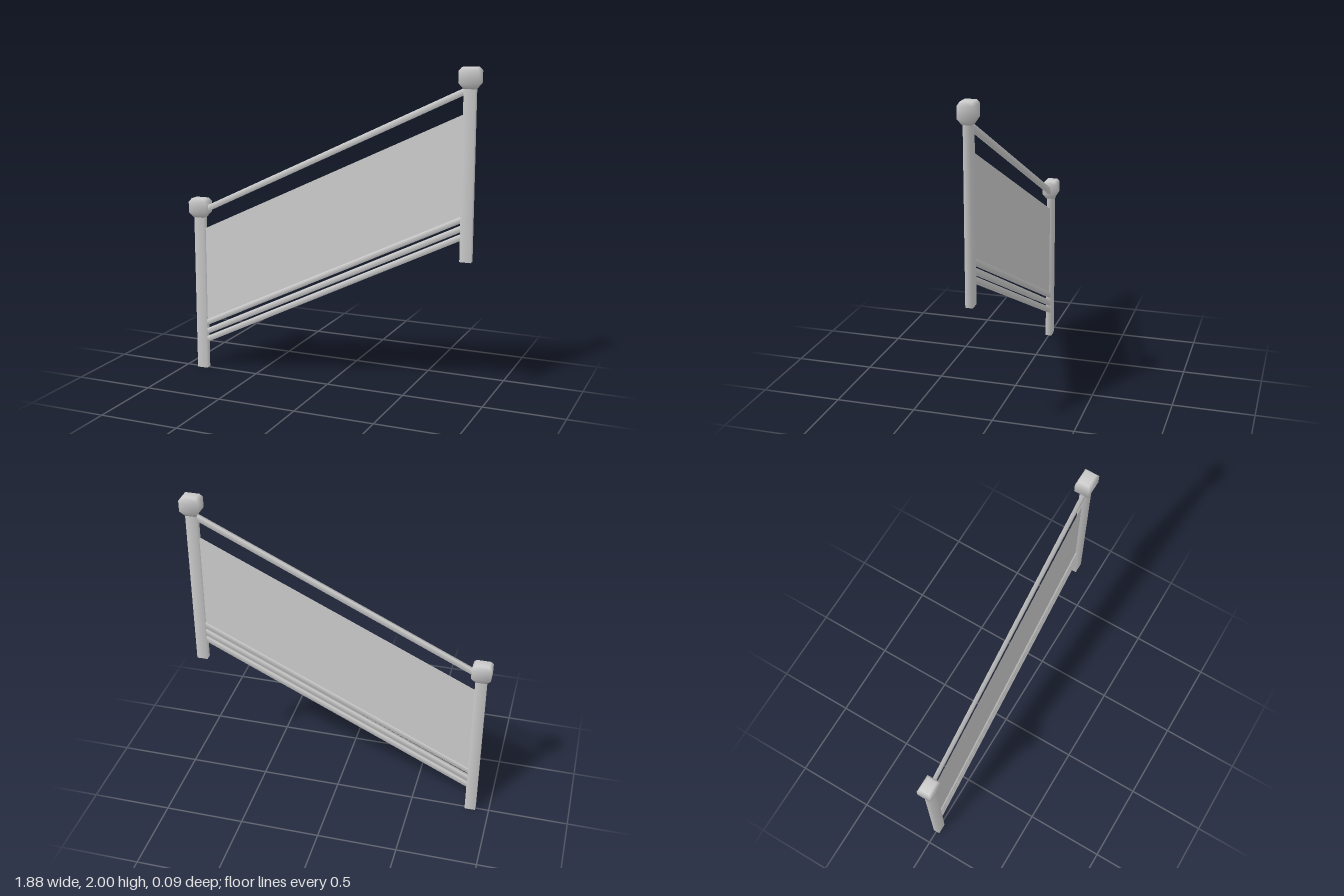
import * as THREE from 'three';

const material = new THREE.MeshStandardMaterial({ color: 0xcccccc, side: THREE.DoubleSide });

// Four-sided turned shape from [half width, y] pairs, with a square plan of half width w
function squareLathe(profile) {
  const points = profile.map(([w, y]) => new THREE.Vector2(w * Math.SQRT2, y));
  return new THREE.LatheGeometry(points, 4, Math.PI / 4);
}

// Post with a flared, chamfered cap
function makePost(x, y, z) {
  const group = new THREE.Group();
  group.name = 'post';
  const shaftGeometry = new THREE.CylinderGeometry(Math.SQRT1_2, Math.SQRT1_2, 1.02, 4, 1, false, Math.PI / 4);
  shaftGeometry.scale(0.068, 1, 0.042).translate(0, 0.51, 0);
  const shaft = new THREE.Mesh(shaftGeometry, material);
  shaft.name = 'postShaft';
  const capGeometry = squareLathe([
    [0, 1.003], [0.034, 1.003], [0.059, 1.037], [0.059, 1.105], [0.043, 1.126], [0, 1.126],
  ]);
  capGeometry.scale(1, 1, 0.75);
  const cap = new THREE.Mesh(capGeometry, material);
  cap.name = 'postCap';
  group.add(shaft, cap);
  group.position.set(x, y, z);
  return group;
}

// Sloping rail with upright ends, made by shearing a straight bar
function makeRail(name, yLeft, yRight, height) {
  const length = 1.71;
  const geometry = new THREE.CylinderGeometry(Math.SQRT1_2, Math.SQRT1_2, length, 4, 1, false, Math.PI / 4);
  geometry.rotateZ(-Math.PI / 2).scale(1, height, 0.02);
  const slope = (yRight - yLeft) / 1.69;
  geometry.applyMatrix4(new THREE.Matrix4().makeShear(slope, 0, 0, 0, 0, 0));
  const rail = new THREE.Mesh(geometry, material);
  rail.name = name;
  rail.position.y = (yLeft + yRight) / 2;
  return rail;
}

export function createModel() {
  const group = new THREE.Group();
  group.name = 'stairRailing';

  // Lower and upper posts
  group.add(makePost(-0.881, 0, 0.002), makePost(0.876, 0.874, -0.002));

  // Handrail and the three bottom rails
  group.add(makeRail('handrail', 1.053, 1.862, 0.041));
  [[0.194, 1.019], [0.247, 1.07], [0.307, 1.123]].forEach(([a, b]) => {
    group.add(makeRail('bottomRail', a, b, 0.039));
  });

  // Thin infill panel
  const outline = new THREE.Shape([
    new THREE.Vector2(-0.85, 0.3), new THREE.Vector2(0.85, 1.12),
    new THREE.Vector2(0.85, 1.736), new THREE.Vector2(-0.85, 0.93),
  ]);
  const panel = new THREE.Mesh(new THREE.ShapeGeometry(outline), material);
  panel.name = 'panel';
  group.add(panel);
  return group;
}
